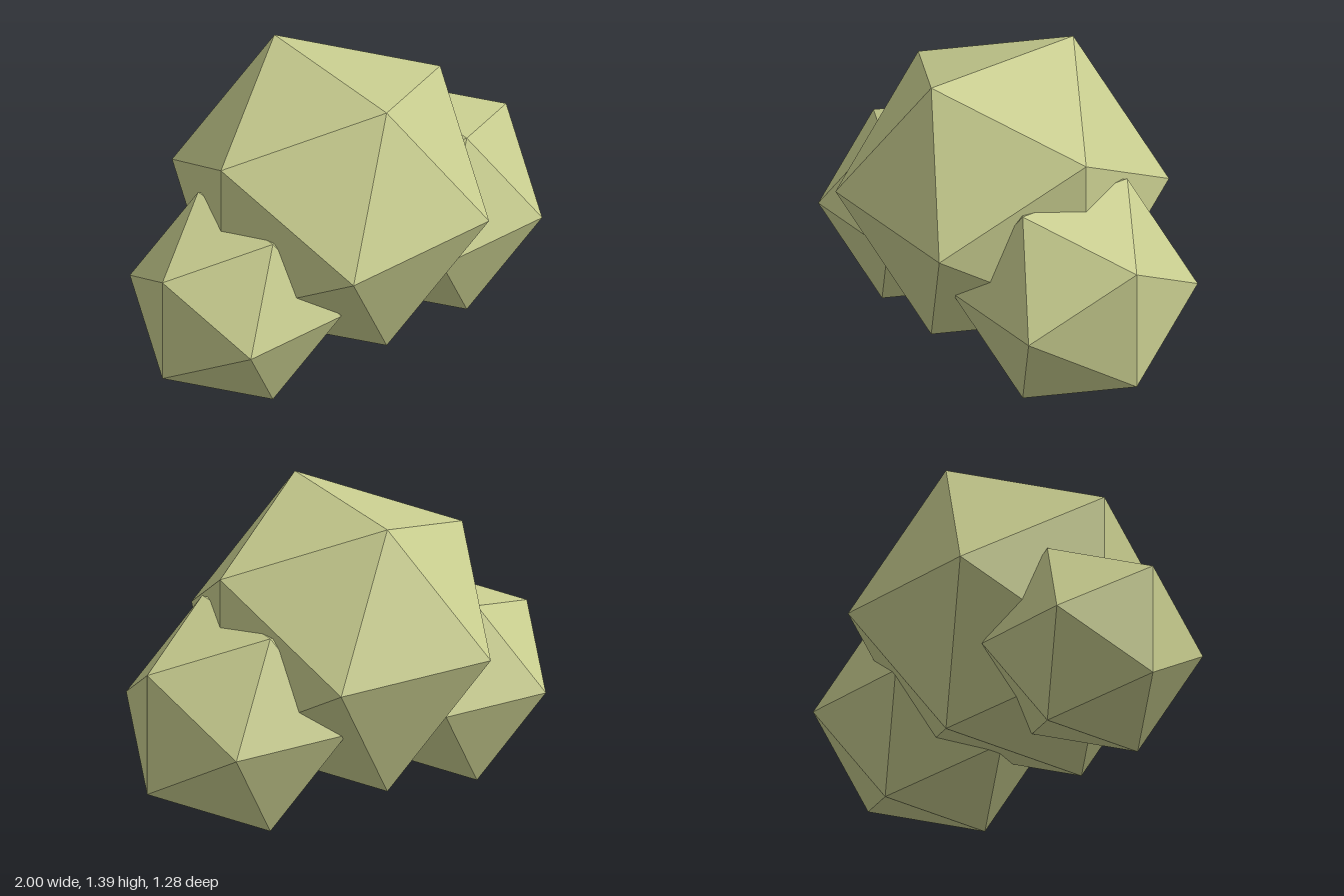
import * as THREE from 'three';

export function createModel() {
  const group = new THREE.Group();
  const foliage = new THREE.MeshStandardMaterial({ color: 0xc8cd8f });
  foliage.name = 'paleOlive';

  // Faceted clump: a 20-sided ball turned so an edge along z is on top
  function clump(name, radius, x, y) {
    const geometry = new THREE.IcosahedronGeometry(radius, 0);
    geometry.rotateY(Math.PI / 2);
    const mesh = new THREE.Mesh(geometry, foliage);
    mesh.name = name;
    mesh.position.set(x, y, 0);
    group.add(mesh);
  }

  clump('mainClump', 0.75, -0.022, 0.756);
  clump('rightClump', 0.5, -0.575, 0.4255);
  clump('leftClump', 0.552, 0.5305, 0.48);

  return group;
}
